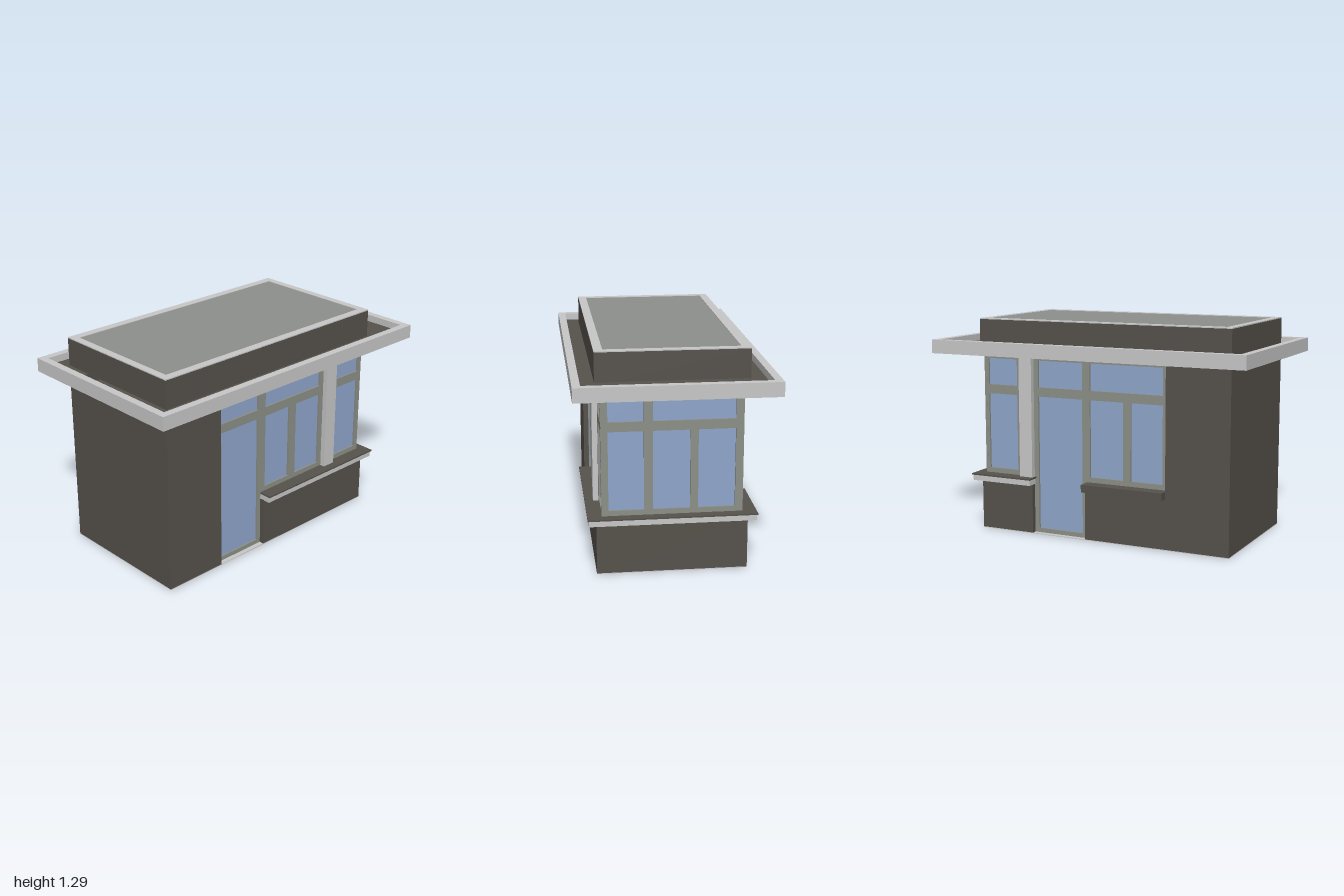
import * as THREE from 'three';

const mat = (name, color) => {
  const m = new THREE.MeshStandardMaterial({ color });
  m.name = name;
  return m;
};

export function createModel() {
  const dark = mat('dark cladding', 0x56524c);
  const light = mat('light trim', 0xc8c8c8);
  const frame = mat('window frame grey', 0x8d8f88);
  const roof = mat('roof grey', 0x8e908d);
  const drainGrey = mat('drain grey', 0x7b7c7a);
  const glass = mat('blue glass', 0x8fa6cb);

  const model = new THREE.Group();
  model.name = 'kiosk';

  const add = (name, geometry, material, parent = model) => {
    const mesh = new THREE.Mesh(geometry, material);
    mesh.name = name;
    parent.add(mesh);
    return mesh;
  };

  // Box given by its limits on each axis
  const box = (name, material, x0, x1, y0, y1, z0, z1) => {
    const g = new THREE.BoxGeometry(x1 - x0, y1 - y0, z1 - z0);
    g.translate((x0 + x1) / 2, (y0 + y1) / 2, (z0 + z1) / 2);
    return add(name, g, material);
  };

  const path = (pts) => pts.map(([a, b]) => new THREE.Vector2(a, b));
  const rect = (a0, a1, b0, b1) => path([[a0, b0], [a1, b0], [a1, b1], [a0, b1]]);
  const circle = (a, b, r) =>
    new THREE.Path().absarc(a, b, r, 0, Math.PI * 2).getPoints(24);

  const extrude = (outline, holes, depth) => {
    const shape = new THREE.Shape(outline);
    for (const h of holes) shape.holes.push(new THREE.Path(h));
    return new THREE.ExtrudeGeometry(shape, { depth, bevelEnabled: false });
  };

  // Horizontal slab drawn in plan (x, z), hanging down from its top
  const slab = (name, material, outline, holes, bottom, top) => {
    const g = extrude(outline, holes, top - bottom);
    g.rotateX(Math.PI / 2);
    g.translate(0, top, 0);
    return add(name, g, material);
  };

  // Glazed facade: frame with openings and a pane set back in each
  const facade = (name, outline, panes, distance, turn) => {
    const group = new THREE.Group();
    group.name = name;
    const depth = 0.03;
    const g = extrude(path(outline), panes.map((p) => rect(...p)), depth);
    g.translate(0, 0, distance - depth);
    add(name + 'Frame', g, frame, group);
    for (const [a0, a1, b0, b1] of panes) {
      const p = new THREE.BoxGeometry(a1 - a0, b1 - b0, 0.006);
      p.translate((a0 + a1) / 2, (b0 + b1) / 2, distance - 0.015);
      add(name + 'Pane', p, glass, group);
    }
    group.rotation.y = turn;
    model.add(group);
  };
  const low = [0.375, 0.835], high = [0.89, 1.05], door = [0.03, 0.835];

  facade('frontFacade',
    [[-0.48, 0.004], [-0.135, 0.004], [-0.135, 0.31], [0.73, 0.31], [0.73, 1.08], [-0.48, 1.08]],
    [
      [-0.45, -0.16, ...door], [-0.45, -0.16, ...high],
      [-0.1, 0.1, ...low], [0.155, 0.36, ...low], [-0.1, 0.36, ...high],
      [0.505, 0.715, ...low], [0.505, 0.715, ...high],
    ], 0.4, 0);

  // Local horizontal axis runs towards -z
  facade('sideFacade',
    [[-0.399, 0.31], [0.399, 0.31], [0.399, 1.08], [-0.399, 1.08]],
    [
      [-0.36, -0.16, ...low], [-0.36, -0.16, ...high],
      [-0.11, 0.1, ...low], [0.145, 0.355, ...low], [-0.11, 0.355, ...high],
    ], 0.732, Math.PI / 2);

  // Local horizontal axis runs towards -x
  facade('backFacade',
    [[-0.73, 0.31], [-0.39, 0.31], [-0.39, 0.004], [-0.035, 0.004], [-0.035, 0.31],
      [0.48, 0.31], [0.48, 1.08], [-0.73, 1.08]],
    [
      [-0.715, -0.505, ...low], [-0.715, -0.505, ...high],
      [-0.36, -0.065, ...door], [-0.36, -0.065, ...high],
      [-0.015, 0.2, ...low], [0.25, 0.45, ...low], [-0.015, 0.45, ...high],
    ], 0.4, Math.PI);

  // Solid walls
  box('solidWall', dark, -0.87, -0.48, 0.004, 1.08, -0.43, 0.43);
  box('frontLowWall', dark, -0.135, 0.74, 0.004, 0.305, 0.36, 0.43);
  box('sideLowWall', dark, 0.67, 0.74, 0.004, 0.305, -0.36, 0.36);
  box('backLowWall', dark, 0.39, 0.74, 0.004, 0.305, -0.43, -0.36);
  box('backWindowWall', dark, -0.48, 0.035, 0.004, 0.32, -0.43, -0.36);
  box('backWindowSill', dark, -0.48, 0.035, 0.3, 0.345, -0.48, -0.37);

  // Wraparound counter with a thin dark top
  const counter = (x, z, ends) => path([
    [-0.135, z], [x, z], [x, -z], [ends, -z], [ends, -0.37],
    [0.7, -0.37], [0.7, 0.37], [-0.135, 0.37],
  ]);
  slab('counter', light, counter(0.78, 0.473, 0.385), [], 0.302, 0.336);
  slab('counterTop', dark, counter(0.787, 0.48, 0.38), [], 0.336, 0.345);

  // Columns, front and back
  for (const s of [1, -1]) {
    const c = box('column', light, 0.39, 0.475, 0.336, 1.08, -0.05, 0.05);
    c.position.z = s * 0.381;
  }

  // Base
  slab('baseRim', light, rect(-0.87, 0.74, -0.43, 0.43), [rect(-0.81, 0.68, -0.37, 0.37)], 0, 0.004);
  box('floor', dark, -0.82, 0.69, 0.002, 0.008, -0.38, 0.38);

  // Projecting canopy with a sunken gutter and an open drain
  const outer = rect(-1, 1, -0.56, 0.56);
  const inner = rect(-0.955, 0.955, -0.515, 0.515);
  const drain = circle(-0.915, -0.19, 0.025);
  slab('canopyRim', light, outer, [inner], 1.08, 1.162);
  slab('canopySoffit', light, inner, [drain], 1.08, 1.09);
  slab('gutterFloor', dark, inner, [rect(-0.952, -0.872, -0.25, -0.14)], 1.09, 1.12);
  slab('drainPlate', drainGrey, rect(-0.952, -0.872, -0.25, -0.14), [drain], 1.09, 1.1);

  // Raised roof block, its light edge and flat roof surface
  box('roofBlock', dark, -0.87, 0.74, 1.1, 1.286, -0.43, 0.43);
  slab('roofEdge', light, rect(-0.87, 0.74, -0.43, 0.43), [rect(-0.825, 0.695, -0.38, 0.38)], 1.286, 1.292);
  box('roofSurface', roof, -0.825, 0.695, 1.284, 1.289, -0.38, 0.38);

  return model;
}
